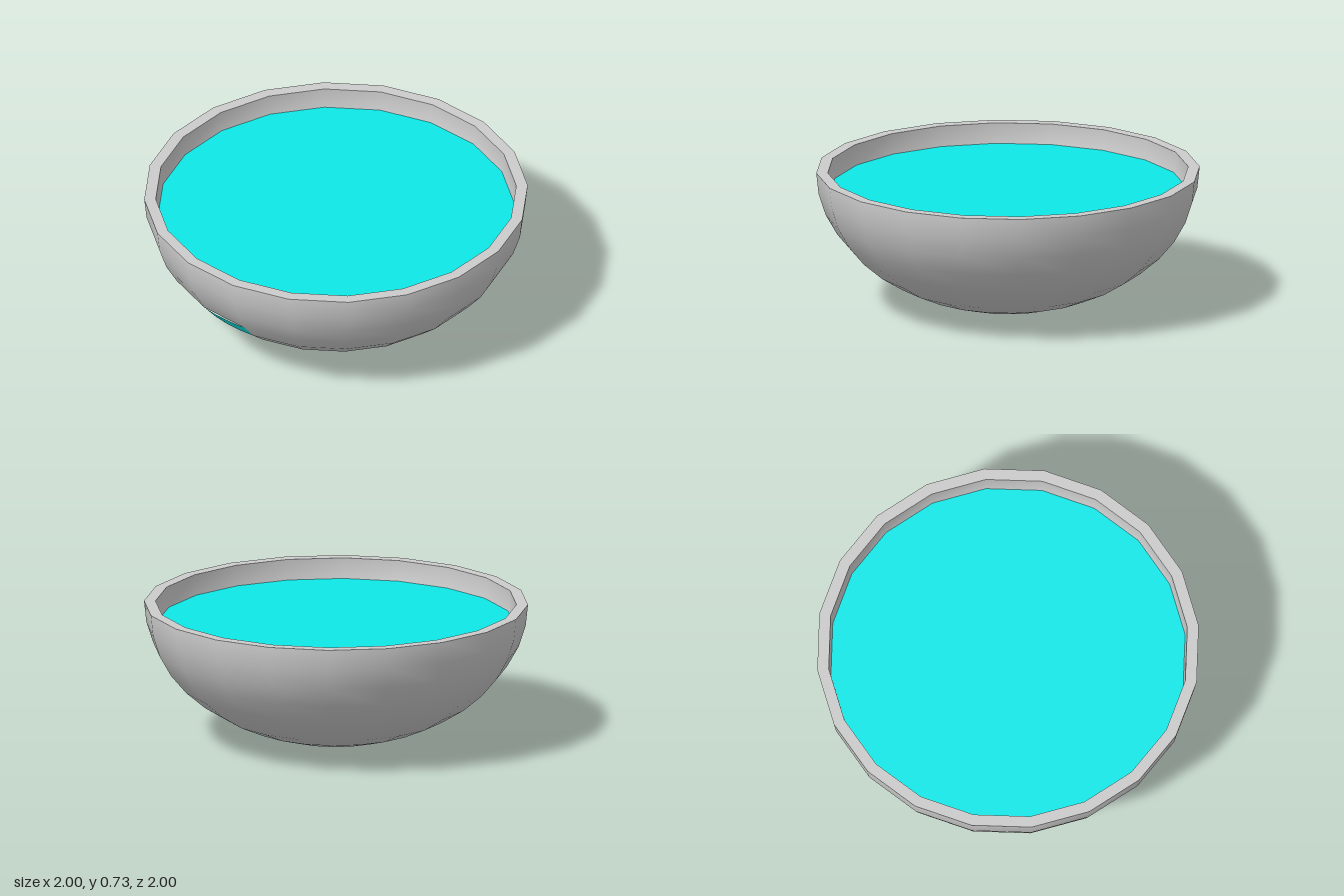
import * as THREE from 'three';

const SIDES = 20;
const HEIGHT = 0.732;   // depth of the bowl
const INNER = 0.94;     // inner wall scale
const STEP = Math.PI / SIDES; // latitude step

const grey = new THREE.MeshStandardMaterial({ color: 0xcccccc });
const greyInside = new THREE.MeshStandardMaterial({ color: 0xcccccc, side: THREE.BackSide });
const teal = new THREE.MeshStandardMaterial({ color: 0x0fe8e8 });

// Part of a squashed hemisphere: rows count down from the rim, columns go round
function shell(row0, row1, col0 = 0, cols = SIDES, scale = 1) {
  const g = new THREE.SphereGeometry(scale, cols, row1 - row0,
    col0 * 2 * STEP, cols * 2 * STEP,
    Math.PI / 2 + row0 * STEP, (row1 - row0) * STEP);
  return g.scale(1, HEIGHT, 1).translate(0, HEIGHT, 0);
}

export function createModel() {
  const group = new THREE.Group();
  const add = (name, geometry, material) => {
    const mesh = new THREE.Mesh(geometry, material);
    mesh.name = name;
    group.add(mesh);
  };

  // Outer wall, with a gap of one column over two rows for the coloured patch
  add('outerWallUpper', shell(0, 3), grey);
  add('outerWallMiddle', shell(3, 5, 5, SIDES - 1), grey);
  add('outerWallLower', shell(5, 10), grey);
  add('frontPatch', shell(3, 5, 4, 1), teal);

  // Inner wall and flat rim
  add('innerWall', shell(0, 10, 0, SIDES, INNER), greyInside);
  add('rim', new THREE.RingGeometry(INNER, 1, SIDES).rotateX(-Math.PI / 2).translate(0, HEIGHT, 0), grey);

  // Liquid surface, one row below the rim
  const level = HEIGHT * (1 - INNER * Math.sin(STEP));
  add('liquid', new THREE.CircleGeometry(INNER * Math.cos(STEP), SIDES)
    .rotateX(-Math.PI / 2).translate(0, level, 0), teal);

  return group;
}
